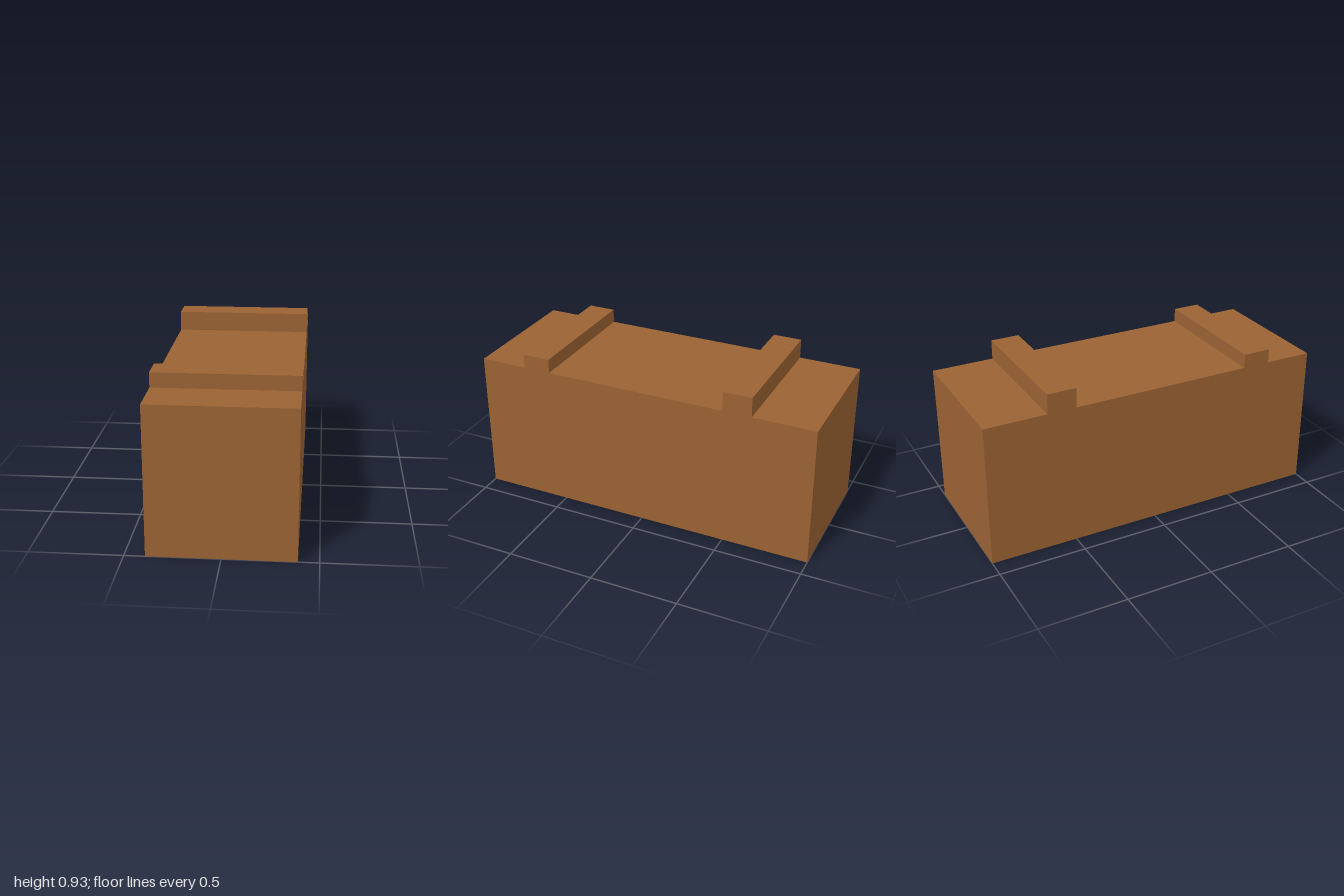
import * as THREE from 'three';

const WIDTH = 0.78;
const TOP = 0.817;

// Cross rails on the top face, from back to front: [z start, z end, top height]
const RAILS = [
  [-0.645, -0.48, 0.93],
  [0.565, 0.725, 0.898],
];

export function createModel() {
  const group = new THREE.Group();
  group.name = 'railedBlock';

  const brown = new THREE.MeshStandardMaterial({ color: 0x9a6233 });
  brown.name = 'brown';

  // Side profile, with shape x running along the model's z
  const profile = new THREE.Shape();
  profile.moveTo(1, 0);
  profile.lineTo(-1, 0);
  profile.lineTo(-1, TOP);
  for (const [start, end, height] of RAILS) {
    profile.lineTo(start, TOP);
    profile.lineTo(start, height);
    profile.lineTo(end, height);
    profile.lineTo(end, TOP);
  }
  profile.lineTo(1, TOP);
  profile.closePath();

  // Solid block with its two rails, extruded across the full width
  const geometry = new THREE.ExtrudeGeometry(profile, { depth: WIDTH, bevelEnabled: false });
  geometry.translate(0, 0, -WIDTH / 2);
  geometry.rotateY(-Math.PI / 2);

  const block = new THREE.Mesh(geometry, brown);
  block.name = 'blockWithRails';
  group.add(block);
  return group;
}
